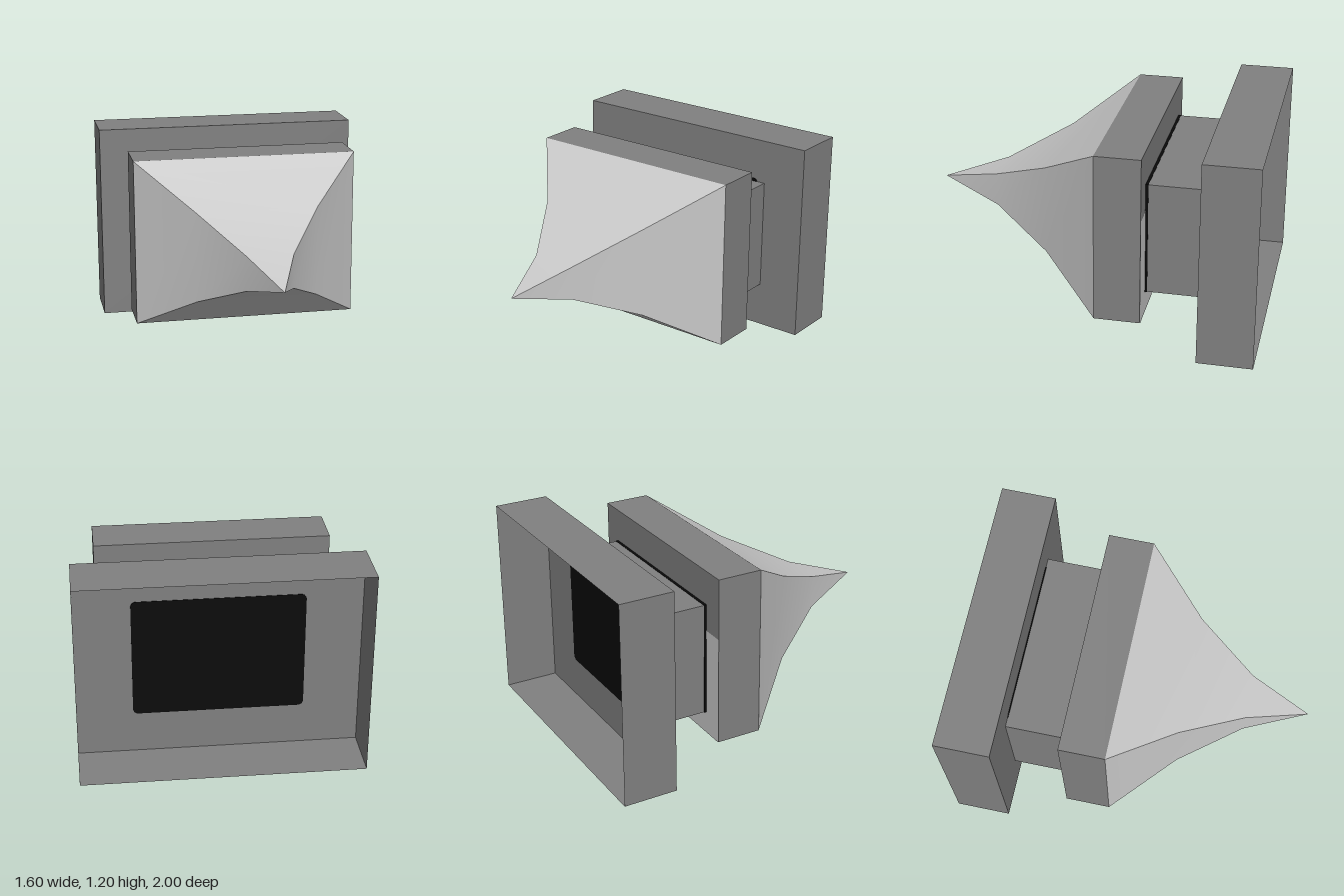
import * as THREE from 'three';

export function createModel() {
  const model = new THREE.Group();
  const material = (name, color, side = THREE.FrontSide) => {
    const m = new THREE.MeshStandardMaterial({ color, side });
    m.name = name;
    return m;
  };
  const grey = material('darkGrey', 0x808080, THREE.DoubleSide);
  const light = material('lightGrey', 0xc8c8c8);
  const black = material('black', 0x0a0a0a);

  const add = (name, geometry, mat, x, y, z) => {
    const mesh = new THREE.Mesh(geometry, mat);
    mesh.name = name;
    mesh.position.set(x, y, z);
    model.add(mesh);
    return mesh;
  };

  // Rear tray: a thin shell, open at the back (the last box face is dropped)
  const tray = new THREE.BoxGeometry(1.6, 1.2, 0.32);
  tray.setIndex(Array.from(tray.index.array).slice(0, 30));
  tray.clearGroups();
  add('rearTray', tray, grey, 0, 0.6, -0.84);

  // Rounded black panel on both faces of the tray wall
  const w = 0.483, h = 0.354, r = 0.03;
  const outline = new THREE.Shape();
  outline.absarc(w - r, h - r, r, 0, Math.PI / 2);
  outline.absarc(-w + r, h - r, r, Math.PI / 2, Math.PI);
  outline.absarc(-w + r, -h + r, r, Math.PI, Math.PI * 1.5);
  outline.absarc(w - r, -h + r, r, Math.PI * 1.5, Math.PI * 2);
  const panel = new THREE.ExtrudeGeometry(outline, { depth: 0.006, bevelEnabled: false, curveSegments: 4 });
  add('blackPanel', panel, black, 0, 0.6, -0.683);

  // Neck with a thin black seam against the block
  add('neck', new THREE.BoxGeometry(1.064, 0.666, 0.345), grey, 0, 0.602, -0.5075);
  add('neckSeam', new THREE.BoxGeometry(1.068, 0.67, 0.016), black, 0, 0.602, -0.343);

  // Block behind the spike, with the lower part of its back in light grey
  add('block', new THREE.BoxGeometry(1.33, 1, 0.266), grey, 0, 0.635, -0.202);
  const backPaint = add('blockBackPaint', new THREE.PlaneGeometry(1.33, 0.645), light, 0, 0.4575, -0.338);
  backPaint.rotation.y = Math.PI;

  // Concave four-sided spike: smooth along its length, sharp at the corners
  const sections = [[-0.069, 0.665, 0.5], [0.285, 0.355, 0.266], [0.64, 0.133, 0.1], [1, 0, 0]];
  const corners = [[1, 1], [-1, 1], [-1, -1], [1, -1]];
  const positions = [], indices = [];
  corners.forEach((a, side) => {
    const b = corners[(side + 1) % 4];
    const first = positions.length / 3;
    sections.forEach(([z, hx, hy], i) => {
      for (const c of [a, b]) positions.push(c[0] * hx, c[1] * hy, z);
      if (i === sections.length - 1) return;
      const k = first + i * 2;
      indices.push(k, k + 2, k + 1);
      if (i < sections.length - 2) indices.push(k + 1, k + 2, k + 3);
    });
  });
  const spike = new THREE.BufferGeometry();
  spike.setAttribute('position', new THREE.Float32BufferAttribute(positions, 3));
  // Corner order is clockwise seen from outside, so flip each triangle
  for (let i = 0; i < indices.length; i += 3) {
    const [p, q, s] = indices.slice(i, i + 3).map((n) => new THREE.Vector3().fromArray(positions, n * 3));
    const normal = q.clone().sub(p).cross(s.clone().sub(p));
    if (normal.z < 0) [indices[i + 1], indices[i + 2]] = [indices[i + 2], indices[i + 1]];
  }
  spike.setIndex(indices);
  spike.computeVertexNormals();
  add('spike', spike, light, 0, 0.635, 0);

  return model;
}
